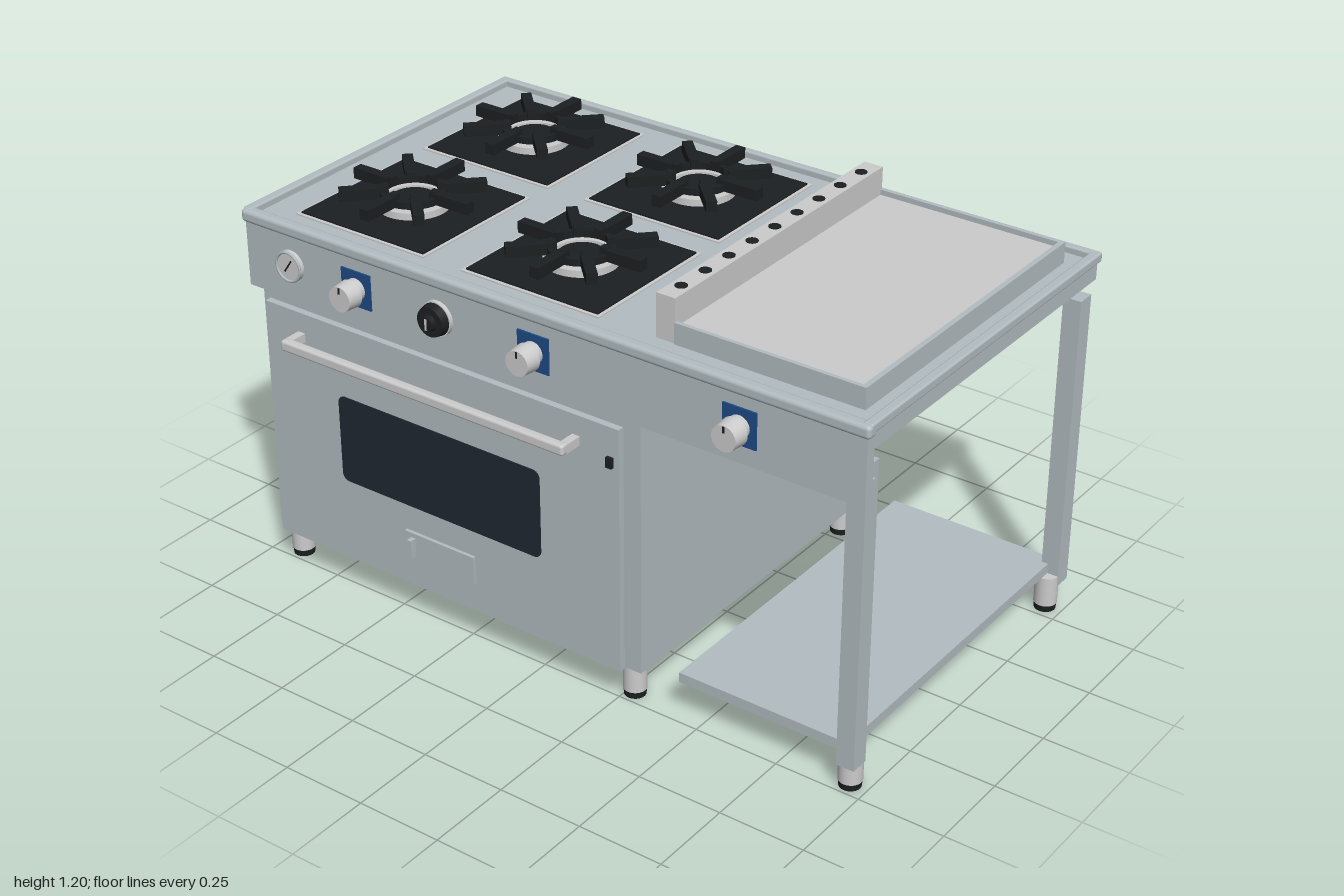
import * as THREE from 'three';
import { RoundedBoxGeometry } from 'three/addons/geometries/RoundedBoxGeometry.js';

const mat = (color) => new THREE.MeshStandardMaterial({ color });
const steel = mat(0xb2bcc0);
const light = mat(0xcccccc);
const black = mat(0x1c1f21);
const glass = mat(0x1f2833);
const blue = mat(0x1f4a86);

export function createModel() {
  const root = new THREE.Group();

  function add(name, geo, material, x = 0, y = 0, z = 0, parent = root) {
    const m = new THREE.Mesh(geo, material);
    m.name = name;
    m.position.set(x, y, z);
    parent.add(m);
    return m;
  }
  // Box given by its limits on each axis
  function box(name, material, [x0, x1], [y0, y1], [z0, z1], parent = root, r = 0) {
    const s = [x1 - x0, y1 - y0, z1 - z0];
    const geo = r ? new RoundedBoxGeometry(...s, 3, r) : new THREE.BoxGeometry(...s);
    return add(name, geo, material, (x0 + x1) / 2, (y0 + y1) / 2, (z0 + z1) / 2, parent);
  }
  const cyl = (r0, r1, h, n = 32) => new THREE.CylinderGeometry(r0, r1, h, n);
  // Cylinder lying along z
  const dial = (r0, r1, h) => cyl(r0, r1, h).rotateX(Math.PI / 2);
  const group = (name, x, y, z) => {
    const g = new THREE.Group();
    g.name = name;
    g.position.set(x, y, z);
    root.add(g);
    return g;
  };
  // Flat ring with a vertical axis, bottom at y = 0
  function ring(outer, inner, h) {
    const s = new THREE.Shape().absarc(0, 0, outer, 0, Math.PI * 2);
    s.holes.push(new THREE.Path().absarc(0, 0, inner, 0, Math.PI * 2, true));
    return new THREE.ExtrudeGeometry(s, { depth: h, bevelEnabled: false, curveSegments: 24 }).rotateX(-Math.PI / 2);
  }

  // Worktop with raised rim and rounded front nosing
  box('worktop', steel, [-0.99, 0.99], [1.01, 1.07], [-0.605, 0.5]);
  box('rimBack', steel, [-1, 1], [1.062, 1.09], [-0.612, -0.588], root, 0.006);
  for (const s of [-1, 1]) {
    const x = [s * 1, s * 0.972].sort((a, b) => a - b);
    box('rimSide', steel, x, [1.062, 1.09], [-0.612, 0.51], root, 0.006);
  }
  box('frontNosing', steel, [-1, 1], [1.05, 1.088], [0.485, 0.522], root, 0.012);

  // Control panel, thicker along its lower edge
  const panel = new THREE.Shape();
  [[0.513, 1.06], [0.513, 0.86], [0.47, 0.86], [0.47, 0.925], [0.482, 0.925], [0.482, 1.06]]
    .forEach(([z, y], i) => (i ? panel.lineTo(-z, y) : panel.moveTo(-z, y)));
  add('controlPanel', new THREE.ExtrudeGeometry(panel, { depth: 1.98, bevelEnabled: false })
    .rotateY(Math.PI / 2), steel, -0.99);

  // Oven body, door, window
  box('ovenBody', steel, [-0.957, 0.32], [0.1, 0.895], [-0.6, 0.497]);
  box('ovenDoor', steel, [-0.912, 0.283], [0.115, 0.845], [0.519, 0.539]);
  const [w, h, r] = [0.345, 0.1325, 0.022];
  const pane = new THREE.Shape();
  pane.absarc(w - r, h - r, r, 0, Math.PI / 2);
  pane.absarc(-w + r, h - r, r, Math.PI / 2, Math.PI);
  pane.absarc(-w + r, -h + r, r, Math.PI, Math.PI * 1.5);
  pane.absarc(w - r, -h + r, r, Math.PI * 1.5, Math.PI * 2);
  add('ovenWindow', new THREE.ExtrudeGeometry(pane, { depth: 0.004, bevelEnabled: false }),
    glass, -0.318, 0.502, 0.538);
  box('doorLatch', black, [0.247, 0.266], [0.73, 0.76], [0.538, 0.549]);

  // Door handle on two brackets
  box('doorHandle', light, [-0.797, 0.16], [0.758, 0.79], [0.585, 0.612], root, 0.008);
  for (const x of [-0.785, 0.148])
    box('handleBracket', light, [x - 0.012, x + 0.012], [0.76, 0.786], [0.538, 0.592]);

  // Vent flap at the bottom of the door
  box('ventFlap', steel, [-0.44, -0.2], [0.205, 0.29], [0.538, 0.549]);
  box('ventGrip', steel, [-0.417, -0.403], [0.22, 0.276], [0.548, 0.568]);

  // Open side: shelf and posts
  box('shelf', steel, [0.43, 0.95], [0.11, 0.14], [-0.58, 0.48]);
  for (const z of [-0.5725, 0.4725])
    box('post', steel, [0.93, 0.983], [0.078, 0.965], [z - 0.0275, z + 0.0275]);

  // Feet with black tips
  for (const x of [-0.912, 0.273, 0.95])
    for (const z of [-0.545, 0.46]) {
      const foot = group('foot', x, 0, z);
      add('footSleeve', cyl(0.033, 0.033, 0.09), light, 0, 0.065, 0, foot);
      add('footTip', cyl(0.032, 0.03, 0.022), black, 0, 0.011, 0, foot);
    }

  // Gas knobs on blue plates
  for (const x of [-0.597, -0.003, 0.63]) {
    const knob = group('gasKnob', x, 0.965, 0.513);
    box('knobPlate', blue, [-0.05, 0.05], [-0.052, 0.052], [-0.001, 0.005], knob);
    add('knobCollar', dial(0.032, 0.032, 0.025), light, 0, 0, 0.016, knob);
    add('knobBody', dial(0.036, 0.04, 0.045), light, 0, -0.004, 0.048, knob);
    box('knobMarker', black, [-0.003, 0.003], [0.012, 0.03], [0.068, 0.072], knob);
  }

  // Oven thermostat
  const thermostat = group('thermostat', -0.318, 0.965, 0.513);
  add('thermostatRim', dial(0.05, 0.05, 0.012), light, 0, 0, 0.006, thermostat);
  add('thermostatDial', dial(0.042, 0.048, 0.03), black, 0, 0, 0.02, thermostat);
  add('thermostatHub', dial(0.022, 0.024, 0.02), black, 0, 0, 0.04, thermostat);
  box('thermostatMarker', light, [-0.003, 0.003], [-0.016, 0.016], [0.049, 0.052], thermostat);

  // Temperature gauge
  const gauge = group('gauge', -0.83, 0.965, 0.513);
  add('gaugeCase', dial(0.045, 0.045, 0.014), light, 0, 0, 0.007, gauge);
  add('gaugeBezel', new THREE.TorusGeometry(0.042, 0.004, 8, 32), steel, 0, 0, 0.014, gauge);
  box('gaugeNeedle', black, [-0.002, 0.002], [-0.02, 0.025], [0.014, 0.016], gauge).rotation.z = -0.6;

  // Four burners, each with a sunken-look tray and an eight-armed grate
  for (const x of [-0.655, -0.082])
    for (const z of [-0.318, 0.208]) {
      const burner = group('burner', x, 1.07, z);
      box('trayRim', light, [-0.224, 0.224], [-0.005, 0.004], [-0.224, 0.224], burner);
      box('tray', black, [-0.214, 0.214], [-0.004, 0.008], [-0.214, 0.214], burner);
      add('burnerRing', ring(0.103, 0.078, 0.02), light, 0, 0.008, 0, burner);
      add('burnerCap', cyl(0.062, 0.07, 0.024), black, 0, 0.018, 0, burner);
      add('grateRing', ring(0.093, 0.079, 0.02), black, 0, 0.035, 0, burner);
      for (let i = 0; i < 8; i++) {
        const arm = new THREE.Group();
        arm.name = 'grateArm';
        arm.rotation.y = i * Math.PI / 4;
        burner.add(arm);
        box('armBar', black, [0.08, 0.2], [0.036, 0.068], [-0.015, 0.015], arm);
        box('armTip', black, [0.066, 0.088], [0.045, 0.07], [-0.011, 0.011], arm);
      }
    }

  // Griddle: plate, thin lip and tall vent bar
  box('griddlePlate', light, [0.37, 0.915], [1.06, 1.115], [-0.52, 0.415]);
  box('griddleLipSide', steel, [0.915, 0.93], [1.06, 1.13], [-0.532, 0.43]);
  box('griddleLipFront', steel, [0.374, 0.915], [1.06, 1.13], [0.418, 0.43]);
  box('griddleLipBack', steel, [0.374, 0.915], [1.06, 1.13], [-0.532, -0.52]);
  box('ventBar', light, [0.316, 0.374], [1.06, 1.195], [-0.526, 0.426]);
  for (let i = 0; i < 9; i++)
    add('ventHole', cyl(0.017, 0.017, 0.004, 20), black, 0.345, 1.195, -0.463 + i * 0.103);

  return root;
}
